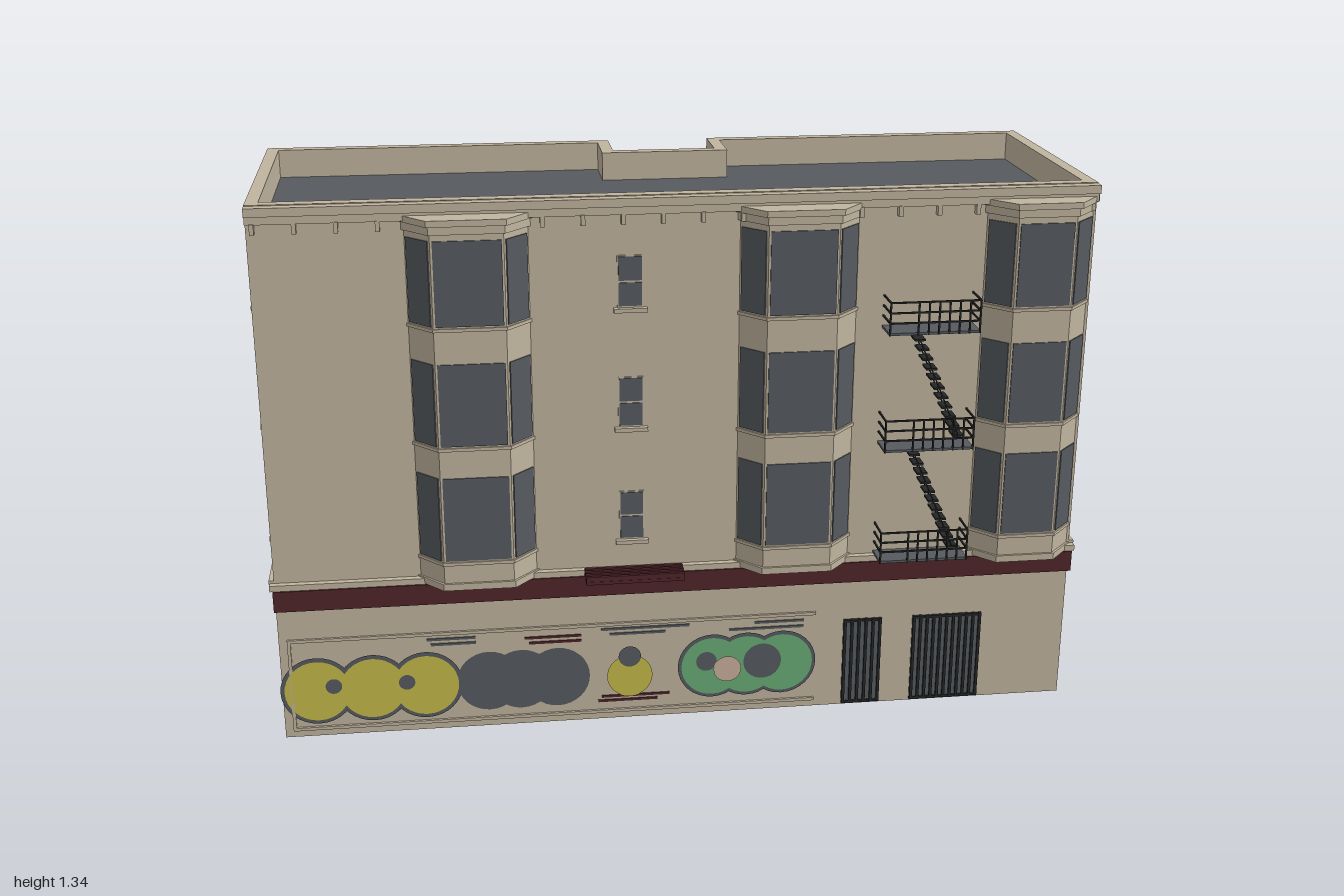
import * as THREE from 'three';

const mat = (name, color) => {
  const m = new THREE.MeshStandardMaterial({ color });
  m.name = name;
  return m;
};

export function createModel() {
  const root = new THREE.Group();
  root.name = 'cornerBuilding';
  const stone = mat('beige stone', 0xc0b49f), slate = mat('slate grey', 0x565b5f);
  const maroon = mat('maroon', 0x50252a), black = mat('iron black', 0x242526);
  const yellow = mat('mustard yellow', 0xc6ba4a), green = mat('mural green', 0x69ad76);
  const pink = mat('pale pink', 0xc9b09c);

  const add = (parent, name, geo, m) => {
    const mesh = new THREE.Mesh(geo, m);
    mesh.name = name;
    parent.add(mesh);
    return mesh;
  };
  const group = (parent, name) => {
    const g = new THREE.Group();
    g.name = name;
    parent.add(g);
    return g;
  };
  // Box given by its extents on each axis
  const box = (parent, name, m, x0, x1, y0, y1, z0, z1) => {
    const b = add(parent, name, new THREE.BoxGeometry(x1 - x0, y1 - y0, z1 - z0), m);
    b.position.set((x0 + x1) / 2, (y0 + y1) / 2, (z0 + z1) / 2);
    return b;
  };
  // Horizontal outline of [x, z] points raised from y0 to y1
  const prism = (parent, name, m, pts, y0, y1) => {
    const shape = new THREE.Shape(pts.map(([x, z]) => new THREE.Vector2(x, -z)));
    const geo = new THREE.ExtrudeGeometry(shape, { depth: y1 - y0, bevelEnabled: false });
    const mesh = add(parent, name, geo.rotateX(-Math.PI / 2), m);
    mesh.position.y = y0;
    return mesh;
  };

  const F = 0.29, B = -0.365, W = 0.985, T = 0.03, H = 1.34;
  const floors = [0.49, 0.78, 1.075];

  // Walls: each runs between two footprint corners; local z points outward
  const corners = [[-W, F], [W, F], [W, B], [0.15, B], [0.15, -0.23], [-0.11, -0.23], [-0.11, B], [-W, B]];
  const specs = [
    { name: 'frontWall', wins: [0.863], ww: 0.055 },
    { name: 'rightEndWall', wins: [0.155, 0.325, 0.495], ww: 0.063, low: [0.155, 0.495], door: [0.285, 0.365], hinge: 1, band: true },
    { name: 'backWallA' },
    { name: 'notchSideA', door: [0.03, 0.11], hinge: 0, band: true },
    { name: 'notchBack', wins: [0.13], ww: 0.06, door: [0.09, 0.17], hinge: 0, band: true, ext: T },
    { name: 'notchSideB', door: [0.03, 0.11], hinge: 0, band: true },
    { name: 'backWallB' },
    { name: 'leftEndWall', wins: [0.16, 0.33, 0.5], ww: 0.063, low: [0.16, 0.5], door: [0.29, 0.37], hinge: 1, band: true },
  ];
  specs.forEach((s, i) => {
    const [ax, az] = corners[i], [bx, bz] = corners[(i + 1) % 8];
    const L = Math.hypot(bx - ax, bz - az), e = s.ext || 0;
    const g = group(root, s.name);
    g.position.set(ax, 0, az);
    g.rotation.y = Math.atan2(az - bz, bx - ax);
    const p = [[-e, 0]];
    if (s.door) p.push([s.door[0], 0], [s.door[0], 0.18], [s.door[1], 0.18], [s.door[1], 0]);
    p.push([L + e, 0], [L + e, H], [-e, H]);
    const geo = new THREE.ExtrudeGeometry(new THREE.Shape(p.map(([x, y]) => new THREE.Vector2(x, y))), { depth: T, bevelEnabled: false });
    add(g, 'wall', geo.translate(0, 0, -T), stone);
    // Door standing open inside its doorway
    if (s.door) {
      const u = s.hinge ? s.door[1] - 0.006 : s.door[0];
      box(g, 'openDoor', slate, u, u + 0.006, 0.005, 0.178, -T - 0.065, -0.004);
    }
    // Sash windows with sills
    for (const u of s.wins || []) for (const y of floors) {
      const h = s.ww / 2;
      box(g, 'windowFrame', stone, u - h - 0.003, u + h + 0.003, y, y + 0.125, -0.002, 0.002);
      box(g, 'lowerSash', slate, u - h, u + h, y + 0.004, y + 0.06, 0, 0.004);
      box(g, 'upperSash', slate, u - h, u + h, y + 0.065, y + 0.122, 0, 0.004);
      box(g, 'windowSill', stone, u - h - 0.012, u + h + 0.012, y - 0.01, y, -0.002, 0.014);
    }
    for (const u of s.low || []) {
      box(g, 'groundWindow', slate, u - 0.042, u + 0.042, 0.168, 0.25, -0.002, 0.004);
      box(g, 'groundSill', stone, u - 0.046, u + 0.046, 0.162, 0.168, -0.002, 0.01);
    }
    if (s.band) box(g, 'stringCourse', stone, 0, L, 0.4, 0.425, -0.002, 0.012);
  });

  // Sunken roof deck
  prism(root, 'roofDeck', slate, corners.map(([x, z], i) => [
    x + [1, -1, -1, 1, 1, -1, -1, 1][i] * 0.02, z + [-1, -1, 1, 1, 1, 1, 1, 1][i] * 0.02]), 1.25, 1.27);

  // Front cornice, brackets and fascia
  box(root, 'corniceTop', stone, -W, W, 1.318, 1.338, F - 0.01, 0.315);
  box(root, 'corniceLip', stone, -W, W, 1.298, 1.318, F - 0.01, 0.305);
  for (let x = -0.97; x < 0.98; x += 0.0925) box(root, 'corniceBracket', stone, x - 0.005, x + 0.005, 1.275, 1.3, F - 0.01, 0.307);
  box(root, 'fasciaBand', maroon, -0.988, 0.988, 0.35, 0.403, F - 0.01, 0.31);
  box(root, 'fasciaLedge', stone, -0.995, 0.995, 0.403, 0.418, F - 0.01, 0.306);
  box(root, 'awning', maroon, -0.24, 0, 0.402, 0.41, F, 0.36);
  for (let i = 0; i < 4; i++) box(root, 'awningSlat', maroon, -0.24, 0, 0.41, 0.422, 0.3 + i * 0.017, 0.308 + i * 0.017);

  // Three-sided bay windows over three storeys
  for (const [cx, ho, hi] of [[-0.495, 0.14, 0.083], [0.275, 0.14, 0.083], [0.85, 0.128, 0.07]]) {
    const bay = group(root, 'bayWindow');
    bay.position.set(cx, 0, F);
    const D = 0.06;
    const outline = (o) => [[-ho - o, -0.01], [-ho - o, 0], [-hi - o / 2, D + o], [hi + o / 2, D + o], [ho + o, 0], [ho + o, -0.01]];
    prism(bay, 'bayBody', stone, outline(0), 0.405, 1.3);
    prism(bay, 'bayFoot', stone, outline(0.006), 0.405, 0.422);
    prism(bay, 'bayNeck', stone, outline(0.006), 1.275, 1.295);
    prism(bay, 'bayCap', stone, outline(0.014), 1.295, 1.31);
    const len = Math.hypot(ho - hi, D), ang = Math.atan2(ho - hi, D);
    for (const y of [0.48, 0.77, 1.06]) {
      const h = y < 0.5 ? 0.21 : 0.2;
      box(bay, 'bayFrontGlass', slate, -hi + 0.005, hi - 0.005, y, y + h, D - 0.003, D + 0.003);
      for (const s of [-1, 1]) {
        const pane = add(bay, 'baySideGlass', new THREE.BoxGeometry(0.006, h, len - 0.012), slate);
        pane.position.set(s * (ho + hi) / 2, y + h / 2, D / 2);
        pane.rotation.y = -s * ang;
      }
      prism(bay, 'baySill', stone, outline(0.004), y - 0.012, y - 0.004);
    }
  }

  // Fire escape: three railed landings joined by two stair flights
  const escape = group(root, 'fireEscape');
  const r = 0.002;
  [0.42, 0.71, 1.003].forEach((y) => {
    box(escape, 'landing', slate, 0.48, 0.7, y, y + 0.006, F, 0.36);
    for (const dy of [0.03, 0.055, 0.08]) {
      box(escape, 'frontRail', black, 0.48, 0.7, y + dy - r, y + dy + r, 0.358, 0.362);
      for (const x of [0.482, 0.698]) box(escape, 'endRail', black, x - r, x + r, y + dy - r, y + dy + r, F, 0.36);
    }
    for (let x = 0.55; x < 0.705; x += 0.0247) box(escape, 'railPost', black, x - r, x + r, y, y + 0.08, 0.358, 0.362);
    box(escape, 'railPost', black, 0.48, 0.484, y, y + 0.08, 0.358, 0.362);
  });
  for (const top of [0.985, 0.695]) {
    for (let i = 0; i < 11; i++) {
      const x = 0.56 + i * 0.0105, y = top - i * 0.0245;
      box(escape, 'stairTread', black, x - 0.013, x + 0.013, y - 0.0025, y + 0.0025, 0.305, 0.345);
    }
    for (const z of [0.304, 0.346]) {
      const stringer = add(escape, 'stairStringer', new THREE.BoxGeometry(0.003, 0.27, 0.003), black);
      stringer.position.set(0.612, top - 0.122, z);
      stringer.rotation.z = Math.atan2(0.105, 0.245);
    }
  }

  // Barred shopfront openings
  for (const [x0, x1, n] of [[0.412, 0.51, 6], [0.59, 0.768, 11]]) {
    const gate = group(root, 'barredGate');
    box(gate, 'gateGlass', slate, x0, x1, 0.008, 0.238, F - 0.002, F + 0.003);
    box(gate, 'gateInnerPanel', slate, x0, x1, 0.008, 0.238, F - T - 0.004, F - T);
    for (let i = 0; i < n; i++) {
      const x = x0 + 0.004 + (x1 - x0 - 0.008) * i / (n - 1);
      box(gate, 'gateBar', black, x - 0.0035, x + 0.0035, 0.005, 0.24, F, F + 0.008);
    }
    for (const y of [0.008, 0.236]) box(gate, 'gateRail', black, x0, x1, y - 0.003, y + 0.003, F, F + 0.007);
  }

  // Painted mural: overlapping discs and stripes inside a raised border
  const mural = group(root, 'mural');
  for (const y of [0.022, 0.262]) box(mural, 'muralBorder', stone, -0.965, 0.34, y - 0.004, y + 0.004, F, F + 0.006);
  box(mural, 'muralBorder', stone, -0.965, -0.957, 0.022, 0.262, F, F + 0.006);
  const discs = (name, m, layer, list) => list.forEach(([x, y, rad]) => {
    add(mural, name, new THREE.CircleGeometry(rad, 32), m).position.set(x, y, F + 0.002 * layer);
  });
  const ya = [[-0.9, 0.125], [-0.765, 0.125], [-0.635, 0.125]];
  const gr = [[0.078, 0.132], [0.165, 0.132], [0.255, 0.132]];
  discs('greyDisc', slate, 1, [[-0.48, 0.125, 0.08], [-0.4, 0.125, 0.08], [-0.31, 0.125, 0.08]]);
  discs('yellowOutline', slate, 2, ya.map(([x, y]) => [x, y, 0.09]));
  discs('yellowDisc', yellow, 3, ya.map(([x, y]) => [x, y, 0.08]));
  discs('yellowSpot', slate, 4, [[-0.86, 0.137, 0.02], [-0.682, 0.137, 0.02]]);
  discs('smallYellowDisc', yellow, 2, [[-0.13, 0.118, 0.057]]);
  discs('smallGreyDisc', slate, 3, [[-0.13, 0.172, 0.028]]);
  discs('greenOutline', slate, 2, gr.map(([x, y]) => [x, y, 0.087]));
  discs('greenDisc', green, 3, gr.map(([x, y]) => [x, y, 0.078]));
  discs('greenSpot', slate, 4, [[0.063, 0.147, 0.026], [0.205, 0.14, 0.048]]);
  discs('pinkSpot', pink, 5, [[0.116, 0.124, 0.035]]);
  for (const [m, x0, x1, y] of [
    [slate, -0.63, -0.51, 0.246], [slate, -0.62, -0.51, 0.232], [maroon, -0.39, -0.25, 0.236], [maroon, -0.38, -0.25, 0.222],
    [slate, -0.2, 0.02, 0.248], [slate, -0.18, -0.04, 0.234], [slate, 0.185, 0.31, 0.244], [slate, 0.12, 0.31, 0.228],
    [maroon, -0.2, -0.03, 0.062], [maroon, -0.21, -0.06, 0.05]]) {
    box(mural, 'muralStripe', m, x0, x1, y - 0.003, y + 0.003, F, F + 0.003);
  }
  return root;
}
